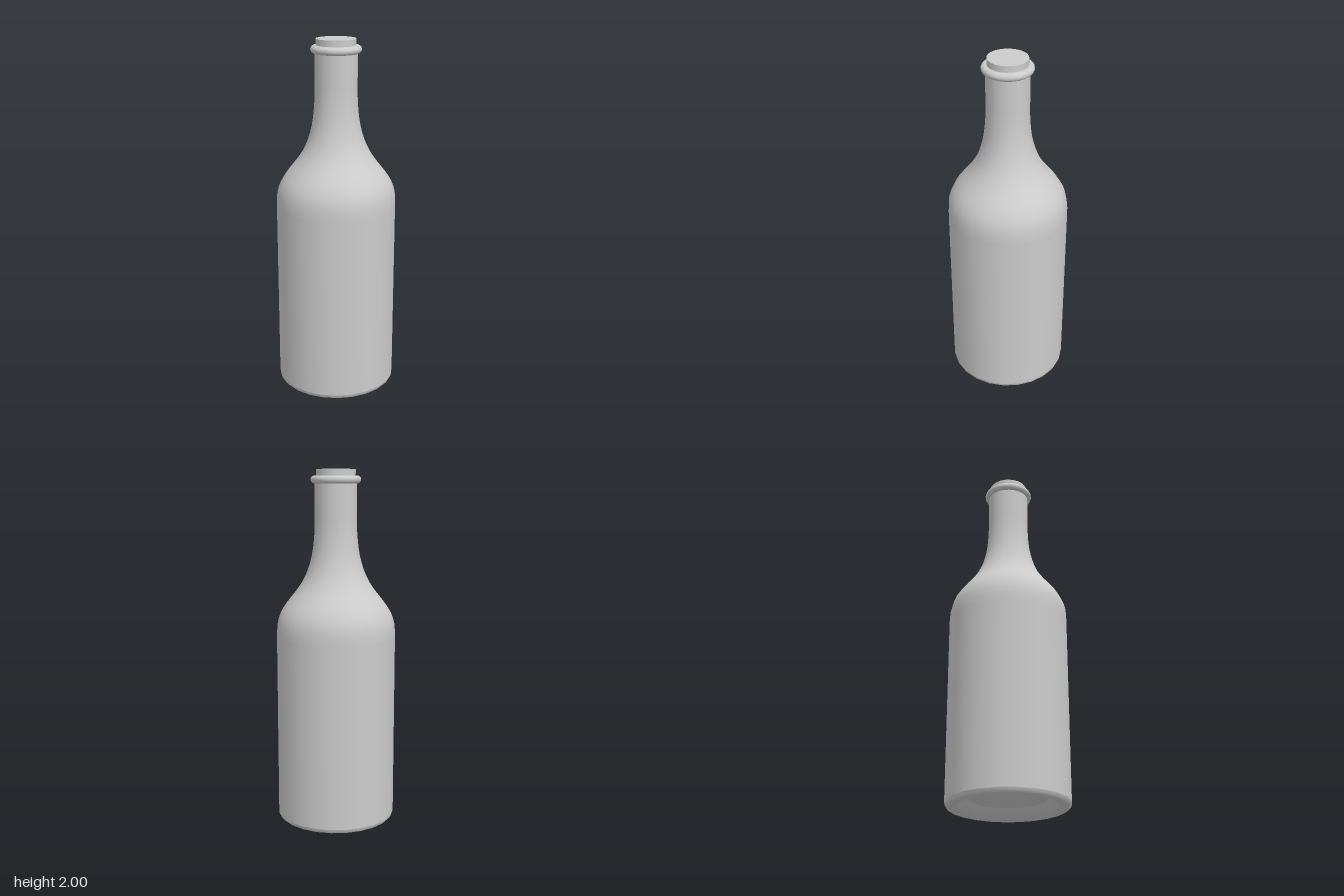
import * as THREE from 'three';

const SIDES = 24;

export function createModel() {
  const group = new THREE.Group();
  const grey = new THREE.MeshStandardMaterial({ color: 0xcccccc });
  grey.name = 'plain grey';

  const add = (name, geometry) => {
    const mesh = new THREE.Mesh(geometry, grey);
    mesh.name = name;
    group.add(mesh);
    return mesh;
  };
  const vectors = (pairs) => pairs.map(([r, y]) => new THREE.Vector2(r, y));
  const lathe = (points) => new THREE.LatheGeometry(points, SIDES);

  // Recessed base: flat disc inside a rounded foot
  add('baseDisc', lathe(vectors([[0, 0.055], [0.21, 0.055]])));
  add('foot', lathe(vectors([
    [0.21, 0.055], [0.235, 0.034], [0.26, 0.014], [0.285, 0.003], [0.31, 0],
    [0.324, 0.004], [0.333, 0.013], [0.337, 0.028],
  ])));

  // Straight body, curved shoulder and neck
  add('body', lathe(vectors([[0.337, 0.028], [0.337, 1.07]])));
  const shoulder = new THREE.SplineCurve(vectors([
    [0.337, 1.07], [0.333, 1.14], [0.312, 1.205], [0.275, 1.262], [0.235, 1.312],
    [0.2, 1.36], [0.17, 1.415], [0.145, 1.485], [0.129, 1.56], [0.12, 1.65], [0.118, 1.72],
  ]));
  add('shoulder', lathe(shoulder.getPoints(20)));
  add('neck', lathe(vectors([[0.118, 1.72], [0.118, 1.945]])));

  // Rounded bead around the mouth
  const bead = [];
  for (let i = 0; i <= 12; i++) {
    const a = -Math.PI / 2 + (Math.PI * i) / 12;
    bead.push(new THREE.Vector2(0.118 + 0.022 * Math.cos(a), 1.943 + 0.022 * Math.sin(a)));
  }
  bead.unshift(new THREE.Vector2(0.105, 1.921));
  bead.push(new THREE.Vector2(0.105, 1.965));
  add('mouthRing', lathe(bead));

  // Stopper with a flat top
  add('stopper', new THREE.CylinderGeometry(0.11, 0.11, 0.06, SIDES)).position.y = 1.97;

  return group;
}
